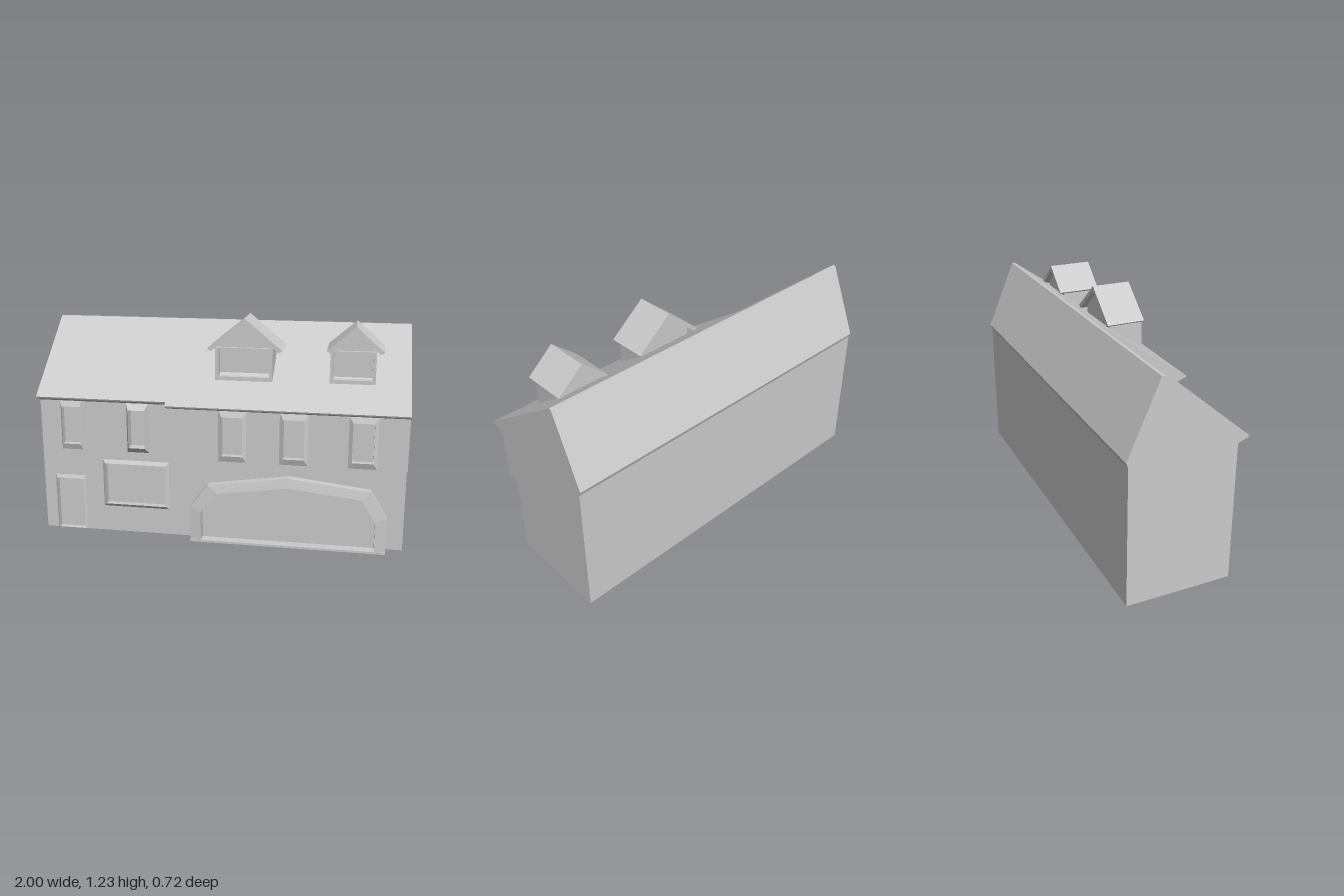
import * as THREE from 'three';

const grey = new THREE.MeshStandardMaterial({ color: 0xcccccc, flatShading: true });

const shapeOf = (pts) => new THREE.Shape(pts.map(([a, b]) => new THREE.Vector2(a, b)));
const rect = (x0, x1, y0, y1) => [[x0, y0], [x1, y0], [x1, y1], [x0, y1]];

export function createModel() {
  const house = new THREE.Group();
  house.name = 'house';

  const add = (name, geometry, parent = house) => {
    const mesh = new THREE.Mesh(geometry, grey);
    mesh.name = name;
    parent.add(mesh);
    return mesh;
  };

  // Outline in (x, y) extruded from z0 to z1, with optional holes
  const slab = (pts, z0, z1, holes = []) => {
    const shape = shapeOf(pts);
    shape.holes = holes.map((h) => new THREE.Path(h.map(([a, b]) => new THREE.Vector2(a, b))));
    return new THREE.ExtrudeGeometry(shape, { depth: z1 - z0, bevelEnabled: false }).translate(0, 0, z0);
  };

  // Outline in (z, y) extruded from x0 to x1
  const prism = (pts, x0, x1) =>
    new THREE.ExtrudeGeometry(shapeOf(pts), { depth: x1 - x0, bevelEnabled: false })
      .rotateY(-Math.PI / 2).translate(x1, 0, 0);

  // Skin through a row of outlines [points, z], each with the same point count
  const loft = (sections, closed = true) => {
    const pos = [];
    for (let s = 0; s + 1 < sections.length; s++) {
      const [a, za] = sections[s], [b, zb] = sections[s + 1];
      for (let i = 0; i < a.length - (closed ? 0 : 1); i++) {
        const j = (i + 1) % a.length;
        const p = [...a[i], za], q = [...a[j], za], r = [...b[j], zb], t = [...b[i], zb];
        pos.push(...p, ...q, ...r, ...p, ...r, ...t);
      }
    }
    const g = new THREE.BufferGeometry();
    g.setAttribute('position', new THREE.Float32BufferAttribute(pos, 3));
    g.computeVertexNormals();
    return g;
  };

  const WALL = 0.215, JETTY = 0.29, RECESS = 0.025, SEAM = -0.26;

  // Wall core; its front shows as the panes behind the openings
  add('wallCore', prism(rect(-0.35, WALL - RECESS, 0.01, 0.77), -1, 1));
  add('jettyCore', prism(rect(0.1, JETTY - RECESS, 0.48, 0.77), SEAM, 1));

  // Openings: [outer outline, inner outline, wall z, projection]
  const smallWindow = (x, z, halfOuter = 0.055, out = 0.012, half = 0.052) => ({
    outer: rect(x - halfOuter, x + halfOuter, 0.482, 0.76),
    inner: rect(x - half, x + half, 0.515, 0.728), z, out, name: 'windowFrame',
  });
  const lower = [
    smallWindow(-0.825, WALL, 0.06),
    smallWindow(-0.448, WALL, 0.062, 0.035, 0.046),
    { outer: rect(-0.655, -0.278, 0.158, 0.432), inner: rect(-0.637, -0.295, 0.175, 0.412),
      z: WALL, out: 0.014, name: 'shopWindowFrame' },
    { outer: rect(-0.935, -0.76, 0.011, 0.33), inner: rect(-0.925, -0.77, 0.013, 0.31),
      z: WALL, out: 0.008, name: 'doorFrame' },
  ];
  const upper = [0.087, 0.412, 0.77].map((x) => smallWindow(x, JETTY, 0.075, 0.012, 0.055));
  for (const o of [...lower, ...upper]) {
    add(o.name, loft([[o.outer, o.z], [o.inner, o.z + o.out], [o.inner, o.z - RECESS]]));
  }

  // Front wall skins with holes
  add('frontWall', slab(
    [[-1, 0.01], [1, 0.01], [1, 0.5], [SEAM, 0.5], [SEAM, 0.77], [-1, 0.77]],
    WALL - RECESS, WALL, lower.map((o) => o.inner)));
  add('jettyWall', slab(rect(SEAM, 1, 0.48, 0.77), JETTY - RECESS, JETTY, upper.map((o) => o.inner)));

  // Main roof in two widths sharing one ridge
  const roof = (eave, wall) => [
    [-0.35, 0.76], [wall, 0.76], [eave - 0.004, 0.782], [eave, 0.79],
    [-0.18, 1.17], [-0.195, 1.17], [-0.36, 0.785],
  ];
  add('leftRoof', prism(roof(0.275, WALL), -1, SEAM));
  add('rightRoof', prism(roof(0.36, JETTY), SEAM, 1));

  // Wide arch around the gateway, with chamfered front
  const archOuter = [[0.91, 0], [0.91, 0.2], [0.82, 0.345], [0.385, 0.395], [-0.055, 0.33], [-0.15, 0.2], [-0.15, 0]];
  const archInner = [[0.85, 0], [0.85, 0.18], [0.775, 0.3], [0.385, 0.343], [0, 0.288], [-0.09, 0.18], [-0.09, 0]];
  const arch = loft([[archOuter, WALL], [archOuter, 0.26], [archInner, 0.27], [archInner, WALL]], false);
  add('gatewayArch', arch).material = Object.assign(grey.clone(), { side: THREE.DoubleSide });
  add('gatewayStep', new THREE.BoxGeometry(1.06, 0.012, 0.055).translate(0.38, 0.006, 0.242));

  // Dormers: gabled body, framed window and a folded roof
  const dormer = (d) => {
    const g = new THREE.Group();
    g.name = 'dormer';
    house.add(g);
    const { x0, x1, cx, y0, top, apex, e0, e1, eave, zf, zb, t } = d;
    const gable = [[x0, y0], [x1, y0], [x1, top], [cx, apex - t], [x0, top]];
    const opening = rect(x0 + 0.018, x1 - 0.018, y0 + 0.02, top - 0.005);
    add('dormerBody', slab(gable, zb + 0.03, zf - 0.045), g);
    add('dormerFront', slab(gable, zf - 0.045, zf - 0.012, [opening]), g);
    add('dormerWindowFrame', slab(rect(x0, x1, y0, top), zf - 0.012, zf + 0.008, [opening]), g);
    add('dormerRoof', slab(
      [[e0, eave], [e0 + 0.02, eave - 0.012], [cx, apex - t], [e1 - 0.02, eave - 0.012], [e1, eave], [cx, apex]],
      zb, zf), g);
  };
  dormer({ x0: -0.02, x1: 0.285, cx: 0.135, y0: 0.905, top: 1.08, apex: 1.233, e0: -0.065, e1: 0.335,
    eave: 1.068, zf: 0.195, zb: -0.02, t: 0.028 });
  dormer({ x0: 0.582, x1: 0.817, cx: 0.71, y0: 0.91, top: 1.08, apex: 1.205, e0: 0.562, e1: 0.857,
    eave: 1.077, zf: 0.198, zb: -0.045, t: 0.026 });

  return house;
}
